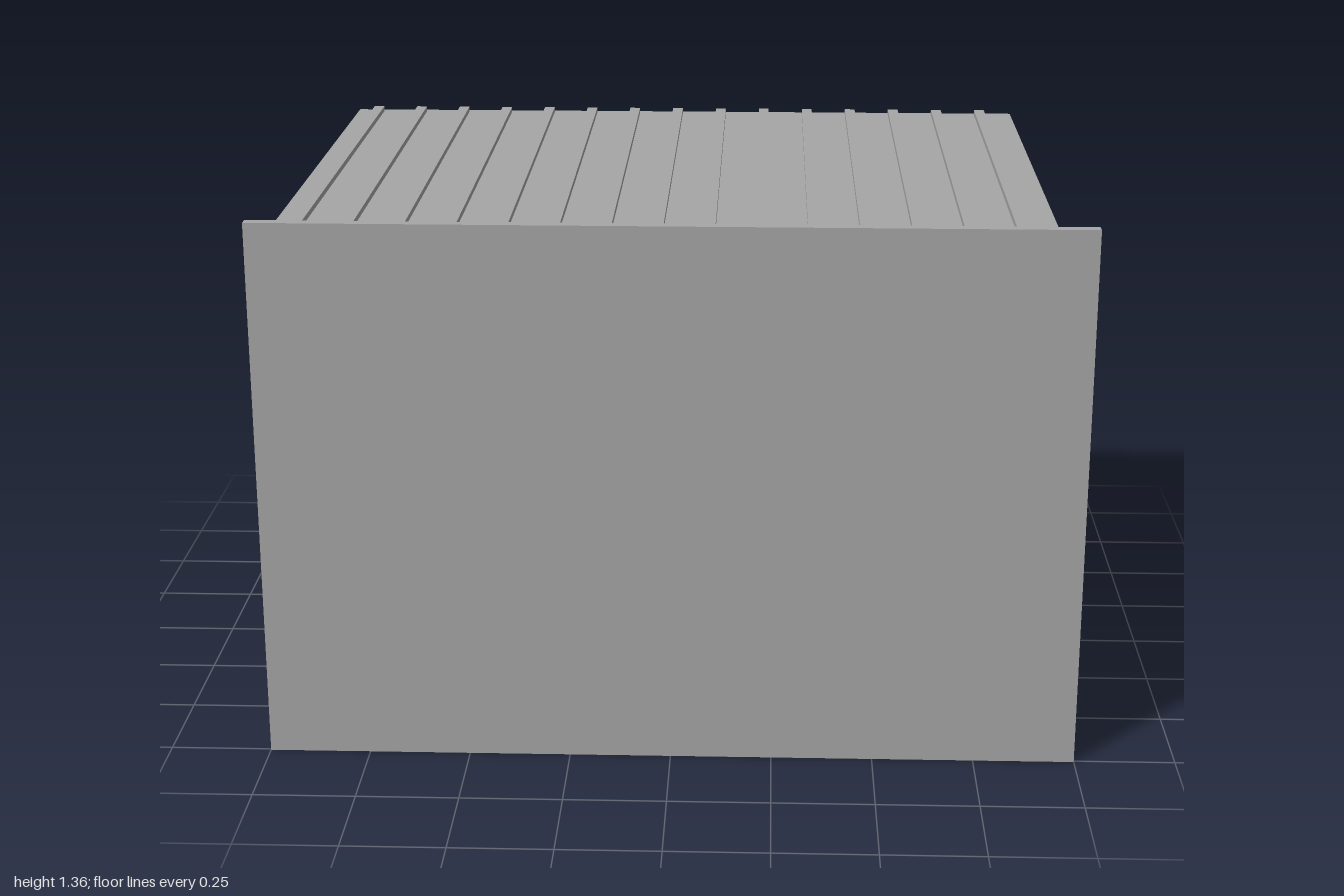
import * as THREE from 'three';

export function createModel() {
  const model = new THREE.Group();
  const grey = new THREE.MeshStandardMaterial({ color: 0xa6a6a6 });
  grey.name = 'grey';

  // Box given by its limits on each axis
  function slab(name, [x0, x1], [y0, y1], [z0, z1], parent = model) {
    const mesh = new THREE.Mesh(new THREE.BoxGeometry(x1 - x0, y1 - y0, z1 - z0), grey);
    mesh.position.set((x0 + x1) / 2, (y0 + y1) / 2, (z0 + z1) / 2);
    mesh.name = name;
    parent.add(mesh);
  }
  function group(name) {
    const g = new THREE.Group();
    g.name = name;
    model.add(g);
    return g;
  }

  const wide = [-0.955, 0.92], tall = [0.08, 1.28], deep = [-0.737, 0.66], ribDeep = [-0.717, 0.64];

  // Large front plate, standing clear of the box
  slab('frontPlate', [-1, 1], [0, 1.357], [0.727, 0.755]);

  // Box walls; the -x side is open
  slab('innerFrontPanel', wide, tall, [0.645, 0.66]);
  slab('backPanel', wide, tall, [-0.755, -0.74]);
  slab('sidePanel', [0.905, 0.92], tall, [-0.74, 0.645]);
  slab('topPanel', wide, [1.306, 1.32], deep);
  slab('bottomPanel', wide, [0.044, 0.058], deep);

  // Cross bar on the inside of the front panel
  slab('innerBar', [-0.735, 0.7], [0.64, 0.715], [0.625, 0.645]);

  // Ribs on top and bottom
  const topRibs = group('topRibs'), bottomRibs = group('bottomRibs');
  for (let i = 0; i < 15; i++) {
    const x = -0.895 + i * 0.1232;
    slab('topRib', [x - 0.014, x + 0.014], [1.32, 1.334], ribDeep, topRibs);
    slab('bottomRib', [x - 0.014, x + 0.014], [0.03, 0.044], ribDeep, bottomRibs);
  }

  // Ribs on the closed side
  const sideRibs = group('sideRibs');
  for (let i = 0; i < 9; i++) {
    const y = 0.142 + i * 0.1234;
    slab('sideRib', [0.92, 0.975], [y - 0.014, y + 0.014], ribDeep, sideRibs);
  }
  return model;
}
